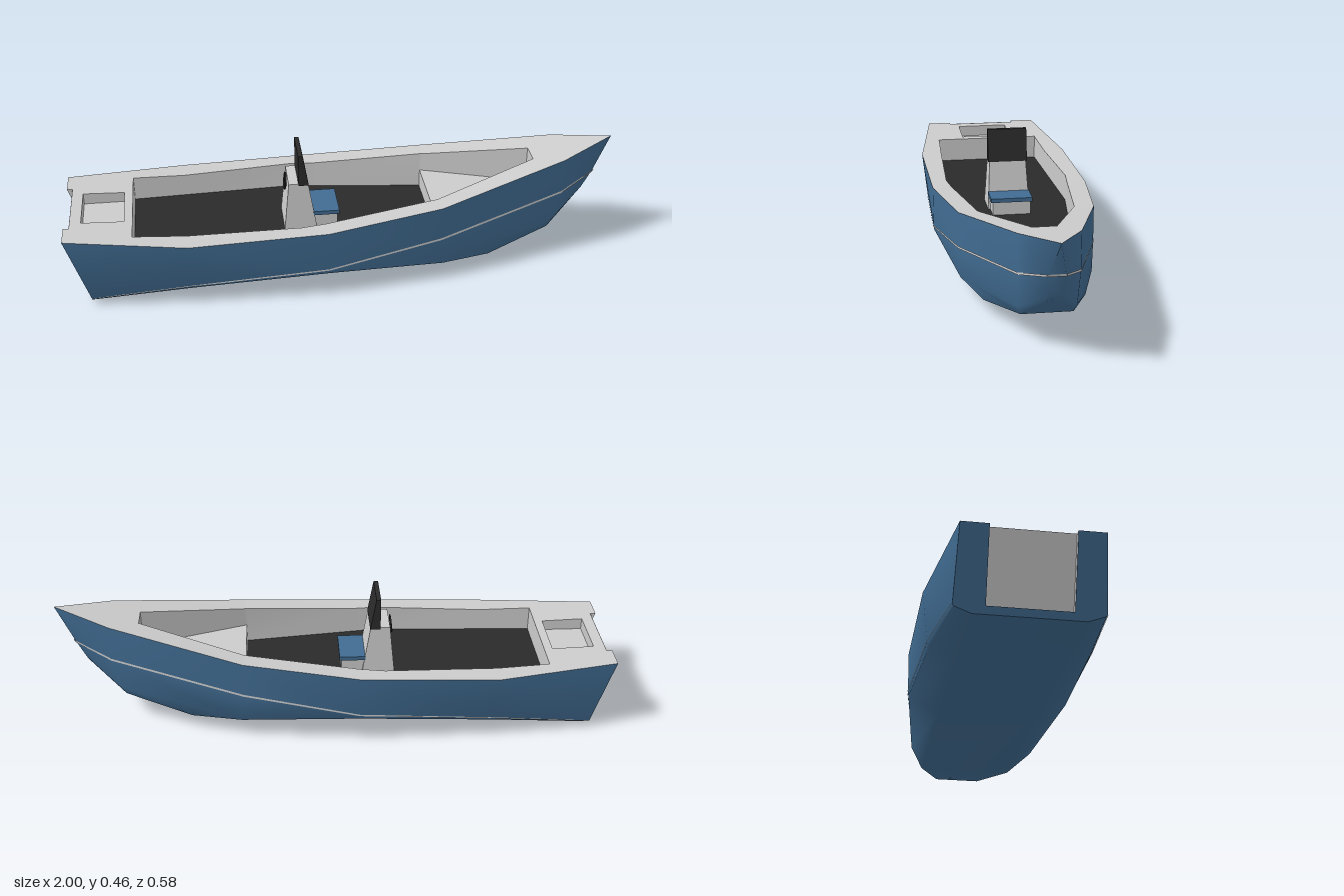
import * as THREE from 'three';
import { mergeVertices, toCreasedNormals } from 'three/addons/utils/BufferGeometryUtils.js';

const mat = (color) => new THREE.MeshStandardMaterial({ color, side: THREE.DoubleSide });
const grey = mat(0xcccccc), blue = mat(0x416c92), dark = mat(0x2a2a2a);

// Hull stations, stern to bow: bottom edge, chine, stripe line, sheer (x, y, z)
const stations = [
  [[-0.91, 0, 0.176], [-0.916, 0.018, 0.23], [-0.918, 0.024, 0.235], [-1, 0.26, 0.225]],
  [[-0.56, 0.014, 0.177], [-0.56, 0.06, 0.262], [-0.56, 0.072, 0.27], [-0.57, 0.245, 0.289]],
  [[-0.08, 0.031, 0.177], [-0.08, 0.095, 0.284], [-0.08, 0.108, 0.286], [-0.08, 0.26, 0.287]],
  [[0.52, 0.054, 0.172], [0.34, 0.067, 0.23], [0.33, 0.17, 0.235], [0.33, 0.3, 0.235]],
  [[0.76, 0.1, 0.085], [0.77, 0.13, 0.095], [0.8, 0.25, 0.099], [0.8, 0.385, 0.1]],
  [[0.89, 0.2, 0.012], [0.9, 0.22, 0.018], [0.93, 0.29, 0.028], [1, 0.42, 0]],
];
const sheer = stations.map((s) => s[3]);
const opening = [[-0.76, 0.203], [-0.17, 0.228], [0.32, 0.168], [0.7, 0.04]];

// Piecewise linear lookup of column k by x
function lookup(rows, x, k) {
  let i = 0;
  while (i < rows.length - 2 && x > rows[i + 1][0]) i++;
  const [a, b] = [rows[i], rows[i + 1]];
  return a[k] + ((b[k] - a[k]) * (x - a[0])) / (b[0] - a[0]);
}
const deckY = (x) => lookup(sheer, x, 1);
const deckZ = (x) => lookup(sheer, x, 2);
const openZ = (x) => lookup(opening, x, 1);
const flip = ([x, y, z]) => [x, y, -z];

// Mesh from a list of convex polygons, smooth below the crease angle
function polyMesh(name, polys, material, crease = 0.3) {
  const pos = [];
  for (const p of polys)
    for (let i = 1; i < p.length - 1; i++) pos.push(...p[0], ...p[i], ...p[i + 1]);
  const g = new THREE.BufferGeometry();
  g.setAttribute('position', new THREE.Float32BufferAttribute(pos, 3));
  const mesh = new THREE.Mesh(toCreasedNormals(mergeVertices(g), crease), material);
  mesh.name = name;
  return mesh;
}
const mirrored = (polys) => [...polys, ...polys.map((p) => p.map(flip).reverse())];

// Tapered block: bottom and top rectangles given as x0, x1, y, half width
function block(name, [ax, bx, y0, w0], [cx, dx, y1, w1], material) {
  const lo = [[ax, y0, w0], [bx, y0, w0], [bx, y0, -w0], [ax, y0, -w0]];
  const hi = [[cx, y1, w1], [dx, y1, w1], [dx, y1, -w1], [cx, y1, -w1]];
  const sides = lo.map((p, i) => [p, lo[(i + 1) % 4], hi[(i + 1) % 4], hi[i]]);
  return polyMesh(name, [...sides, hi, [...lo].reverse()], material);
}

function makeHull() {
  // Full sections from port sheer, under the bottom, to starboard sheer
  const sections = stations.map((s) => [...s].reverse().concat(s.map(flip)));
  const polys = [];
  for (let i = 0; i < sections.length - 1; i++)
    for (let j = 0; j < 7; j++)
      polys.push([sections[i][j], sections[i][j + 1], sections[i + 1][j + 1], sections[i + 1][j]]);
  // Narrow stem face
  const bow = sections[5];
  for (let j = 0; j < 3; j++) polys.push([bow[j], bow[j + 1], bow[6 - j], bow[7 - j]]);
  return polyMesh('hull', polys, blue, 1.6);
}

function makeStripe() {
  // Narrow aft, where the side turns under, wider toward the bow
  const heights = [0.003, 0.004, 0.006, 0.008, 0.008, 0.009];
  const low = stations.map(([, , [x, y, z]], i) => [x + (i === 5 ? 0.003 : 0), y, z + 0.002]);
  const high = low.map(([x, y, z], i) => [x + (i === 5 ? 0.004 : 0), y + heights[i], z]);
  const loop = (line) => [...line, ...line.map(flip).reverse()];
  const [a, b] = [loop(low), loop(high)];
  return polyMesh('stripe', a.slice(1).map((p, i) => [a[i], p, b[i + 1], b[i]]), grey);
}

function makeTransom(group) {
  const w = 0.135, sill = 0.025;
  const at = (y, z, inset = 0) => [-0.91 - (0.09 * y) / 0.26 + inset, y, z];
  const [b, c, s, t] = stations[0];
  group.add(polyMesh('transom', [
    ...mirrored([[at(0, w), b, c, s, t, at(0.26, w)]]),
    [at(0, w), at(sill, w), at(sill, -w), at(0, -w)],
  ], blue));
  const d = 0.02;
  group.add(polyMesh('transomPanel', [
    [at(sill, w, d), at(0.26, w, d), at(0.26, -w, d), at(sill, -w, d)],
    [at(sill, w), at(sill, w, d), at(sill, -w, d), at(sill, -w)],
    ...mirrored([[at(sill, w), at(0.26, w), at(0.26, w, d), at(sill, w, d)]]),
  ], grey));
}

const floorY = 0.16;

function makeDeck(group) {
  const bowY = 0.228, wellY = 0.215;
  const knots = [-1, -0.98, -0.94, -0.79, -0.76, -0.57, -0.17, -0.08, 0.32, 0.33, 0.7, 0.8, 1];
  const deck = [], walls = [], floor = [], platform = [], well = [];
  for (let i = 0; i < knots.length - 1; i++) {
    const a = knots[i], b = knots[i + 1], m = (a + b) / 2;
    const cockpit = m > -0.76 && m < 0.7, hatch = m > -0.94 && m < -0.79;
    const inner = (x) => (cockpit ? openZ(x) : hatch ? 0.1 : m < -0.98 ? 0.135 : 0);
    const top = (x) => [x, deckY(x), inner(x)];
    deck.push([top(a), [a, deckY(a), deckZ(a)], [b, deckY(b), deckZ(b)], top(b)]);
    if (!cockpit && !hatch) continue;
    // Side wall and sole under this part of the opening
    const y = hatch ? wellY : m < 0.32 ? floorY : bowY;
    const low = (x) => [x, y, inner(x)];
    (hatch ? well : walls).push([top(a), top(b), low(b), low(a)]);
    (hatch ? well : m < 0.32 ? floor : platform)
      .push([low(a), low(b), [b, y, 0], [a, y, 0]]);
  }
  // Cross walls: half width, top and bottom at a given x
  const cross = (x, y0, y1, w) => [[x, y0, 0], [x, y0, w], [x, y1, w], [x, y1, 0]];
  walls.push(cross(-0.76, floorY, deckY(-0.76), openZ(-0.76)), cross(0.7, bowY, deckY(0.7), openZ(0.7)));
  platform.push(cross(0.32, floorY, bowY, openZ(0.32)));
  for (const x of [-0.94, -0.79]) well.push(cross(x, wellY, deckY(x), 0.1));
  group.add(
    polyMesh('deck', mirrored(deck), grey),
    polyMesh('cockpitWalls', mirrored(walls), grey),
    polyMesh('cockpitFloor', mirrored(floor), dark),
    polyMesh('bowPlatform', mirrored(platform), grey),
    polyMesh('sternWell', mirrored(well), grey),
  );
}

function makeConsole() {
  const g = new THREE.Group();
  g.name = 'console';
  g.add(
    block('consoleBody', [-0.218, -0.1, floorY, 0.078], [-0.2, -0.13, 0.34, 0.068], grey),
    block('windscreen', [-0.165, -0.128, 0.335, 0.073], [-0.165, -0.149, 0.455, 0.073], dark),
    block('seatBase', [-0.11, -0.025, floorY, 0.07], [-0.11, -0.025, 0.21, 0.07], grey),
    block('seatCushion', [-0.112, -0.018, 0.21, 0.077], [-0.112, -0.018, 0.225, 0.077], blue),
  );
  // Steering wheel, facing aft
  const wheel = new THREE.Group();
  wheel.name = 'steeringWheel';
  const rim = new THREE.Mesh(new THREE.TorusGeometry(0.03, 0.003, 8, 24), dark);
  rim.name = 'wheelRim';
  wheel.add(rim);
  for (let i = 0; i < 3; i++) {
    const spoke = new THREE.Mesh(new THREE.BoxGeometry(0.004, 0.03, 0.003).translate(0, 0.015, 0), dark);
    spoke.name = 'wheelSpoke';
    spoke.rotation.z = (i * Math.PI * 2) / 3;
    wheel.add(spoke);
  }
  wheel.position.set(-0.208, 0.318, 0);
  wheel.rotation.y = -Math.PI / 2;
  wheel.rotateX(-0.1);
  g.add(wheel);
  return g;
}

export function createModel() {
  const boat = new THREE.Group();
  boat.name = 'boat';
  boat.add(makeHull(), makeStripe());
  makeTransom(boat);
  makeDeck(boat);
  boat.add(makeConsole());
  return boat;
}
